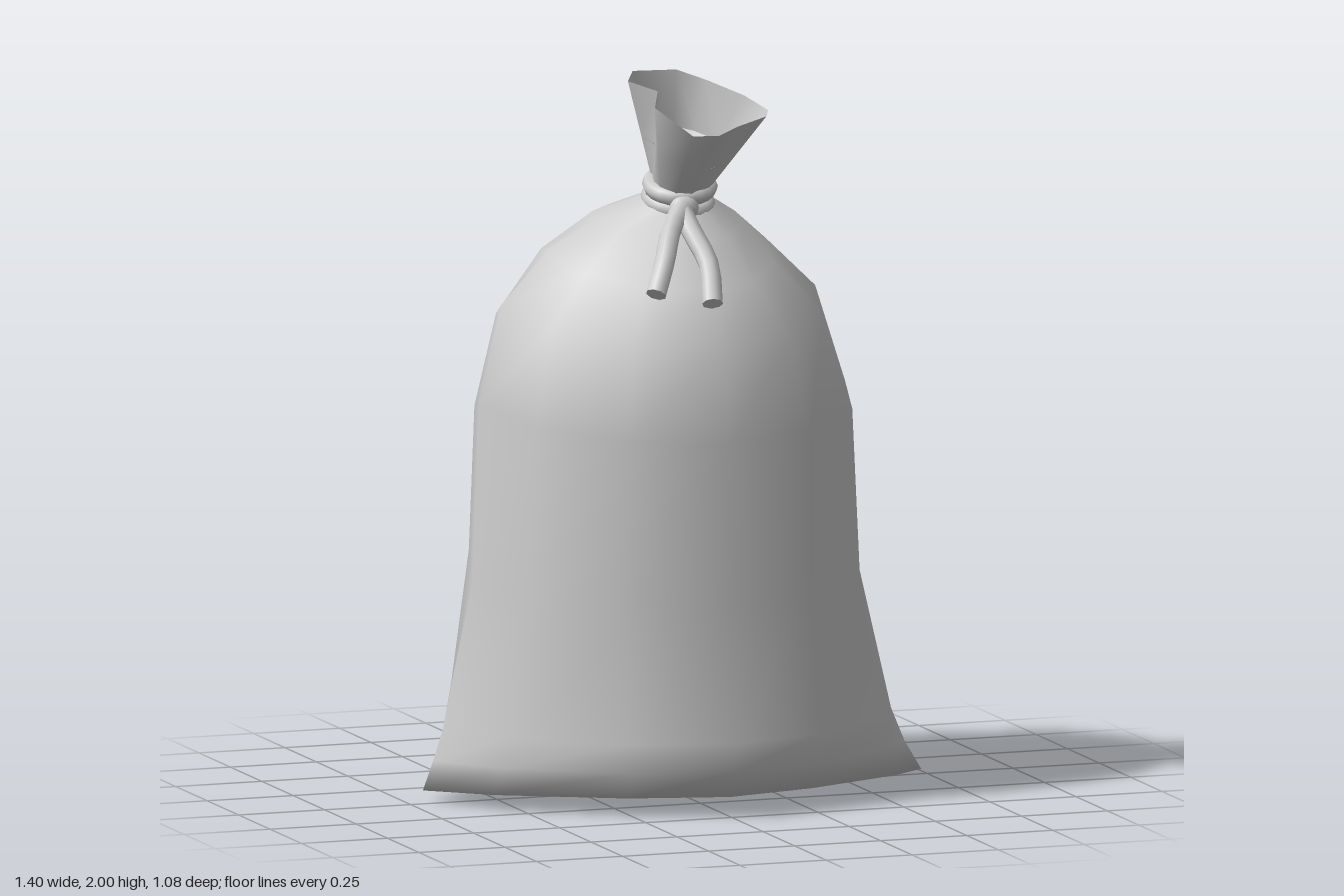
import * as THREE from 'three';

const SIDES = 12;
const material = new THREE.MeshStandardMaterial({ color: 0xcccccc, side: THREE.DoubleSide });

// Skin a stack of closed rings (bottom to top) with smooth normals; a one-point ring acts as a pole.
function loft(name, rings) {
  const positions = [], index = [];
  const starts = rings.map((ring) => {
    const start = positions.length / 3;
    ring.forEach((p) => positions.push(p.x, p.y, p.z));
    return start;
  });
  for (let r = 0; r < rings.length - 1; r++) {
    const lowerN = rings[r].length, upperN = rings[r + 1].length;
    for (let i = 0; i < SIDES; i++) {
      const a = starts[r] + (i % lowerN), b = starts[r] + ((i + 1) % lowerN);
      const c = starts[r + 1] + (i % upperN), d = starts[r + 1] + ((i + 1) % upperN);
      if (lowerN > 1) index.push(a, c, b);
      if (upperN > 1) index.push(b, c, d);
    }
  }
  const geometry = new THREE.BufferGeometry();
  geometry.setAttribute('position', new THREE.Float32BufferAttribute(positions, 3));
  geometry.setIndex(index);
  geometry.computeVertexNormals();
  const mesh = new THREE.Mesh(geometry, material);
  mesh.name = name;
  return mesh;
}

// One cross-section: side, front and back heights, half widths, depths, pointedness q and skew of the corners.
function section([yS, yF, yB, xL, xR, zF, zB, zMid, q, skew]) {
  return Array.from({ length: SIDES }, (_, i) => {
    const a = (i / SIDES) * Math.PI * 2;
    const c = Math.cos(a), s = Math.sin(a);
    const cp = Math.abs(c) ** q, sp = Math.abs(s) ** q;
    const zSide = zMid + skew * c;
    return new THREE.Vector3(
      c > 0 ? xR * cp : -xL * cp,
      THREE.MathUtils.lerp(yS, s > 0 ? yF : yB, Math.abs(s)),
      THREE.MathUtils.lerp(zSide, s > 0 ? zF : zB, sp)
    );
  });
}

function tube(name, points, radius) {
  const curve = new THREE.CatmullRomCurve3(points.map((p) => new THREE.Vector3(...p)));
  const group = new THREE.Group();
  group.name = name;
  group.add(new THREE.Mesh(new THREE.TubeGeometry(curve, 8, radius, 8), material));
  // flat cut end
  const end = new THREE.Mesh(new THREE.CircleGeometry(radius, 8), material);
  end.position.copy(curve.getPoint(1));
  end.lookAt(end.position.clone().add(curve.getTangent(1)));
  group.add(end);
  return group;
}

export function createModel() {
  const model = new THREE.Group();
  model.name = 'tiedSack';

  // Body: pinched bottom corners, round shoulders, narrow neck
  const neck = section([1.68, 1.65, 1.71, 0.075, 0.075, 0.155, 0.01, 0.08, 1, 0]);
  const bodyRings = [
    [0.03, 0.055, 0.055, 0.7, 0.7, 0.49, -0.36, 0.025, 1.4, 0.065],
    [0.11, 0.13, 0.22, 0.67, 0.655, 0.535, -0.48, 0.02, 1.3, 0.06],
    [0.2, 0.21, 0.37, 0.645, 0.62, 0.54, -0.535, 0.02, 1.2, 0.05],
    [0.6, 0.58, 0.7, 0.56, 0.545, 0.47, -0.52, -0.01, 1.03, 0.02],
    [1.1, 1.03, 1.0, 0.55, 0.512, 0.49, -0.485, 0, 1, 0],
    [1.37, 1.29, 1.24, 0.485, 0.425, 0.44, -0.45, 0, 1, 0],
    [1.51, 1.43, 1.46, 0.35, 0.28, 0.34, -0.37, 0, 1, 0],
    [1.595, 1.55, 1.6, 0.22, 0.18, 0.24, -0.2, 0.03, 1, 0],
    [1.65, 1.62, 1.67, 0.09, 0.09, 0.165, 0, 0.08, 1, 0],
  ].map(section);
  const underside = [new THREE.Vector3(0, 0, 0.03)];
  model.add(loft('sackBody', [underside, ...bodyRings, neck]));

  // Mouth: crumpled cloth flaring forward above the tie
  const rim = [
    [0.19, 1.91, 0.27], [0.17, 1.9, 0.31], [0.08, 1.88, 0.33], [0, 1.87, 0.4],
    [-0.07, 1.87, 0.385], [-0.15, 1.94, 0.3], [-0.12, 1.975, 0.24], [-0.17, 1.99, 0.14],
    [-0.12, 2, 0.04], [0.01, 1.995, 0.03], [0.08, 1.97, 0.08], [0.15, 1.94, 0.19],
  ].map((p) => new THREE.Vector3(...p));
  const between = (t) => neck.map((p, i) => p.clone().lerp(rim[i], t));
  model.add(loft('sackMouth', [neck, between(0.5), rim]));

  // Gathered cloth closing the inside of the mouth
  model.add(loft('mouthInside', [[new THREE.Vector3(0, 1.73, 0.11)], between(0.45)]));

  // Two tilted loops of cord around the neck
  const cord = new THREE.Group();
  cord.name = 'cordLoops';
  cord.position.set(0, 1.663, 0.08);
  cord.rotation.x = 0.3;
  [-0.022, 0.024].forEach((y, i) => {
    const loop = new THREE.Mesh(new THREE.TorusGeometry(0.079, 0.025, 8, 20), material);
    loop.name = 'cordLoop';
    loop.rotation.set(Math.PI / 2, i ? 0.06 : -0.06, 0);
    loop.position.y = y;
    cord.add(loop);
  });
  model.add(cord);

  // Knot and two hanging tails
  const knot = new THREE.Mesh(new THREE.SphereGeometry(0.036, 10, 8), material);
  knot.name = 'cordKnot';
  knot.scale.set(1.2, 1, 0.8);
  knot.position.set(-0.02, 1.635, 0.175);
  model.add(knot);
  model.add(tube('cordTailRight', [[-0.02, 1.64, 0.17], [-0.08, 1.59, 0.24], [-0.13, 1.51, 0.32], [-0.17, 1.435, 0.365]], 0.029));
  model.add(tube('cordTailLeft', [[-0.03, 1.64, 0.17], [-0.02, 1.58, 0.24], [0, 1.5, 0.32], [-0.015, 1.405, 0.39]], 0.029));

  return model;
}
